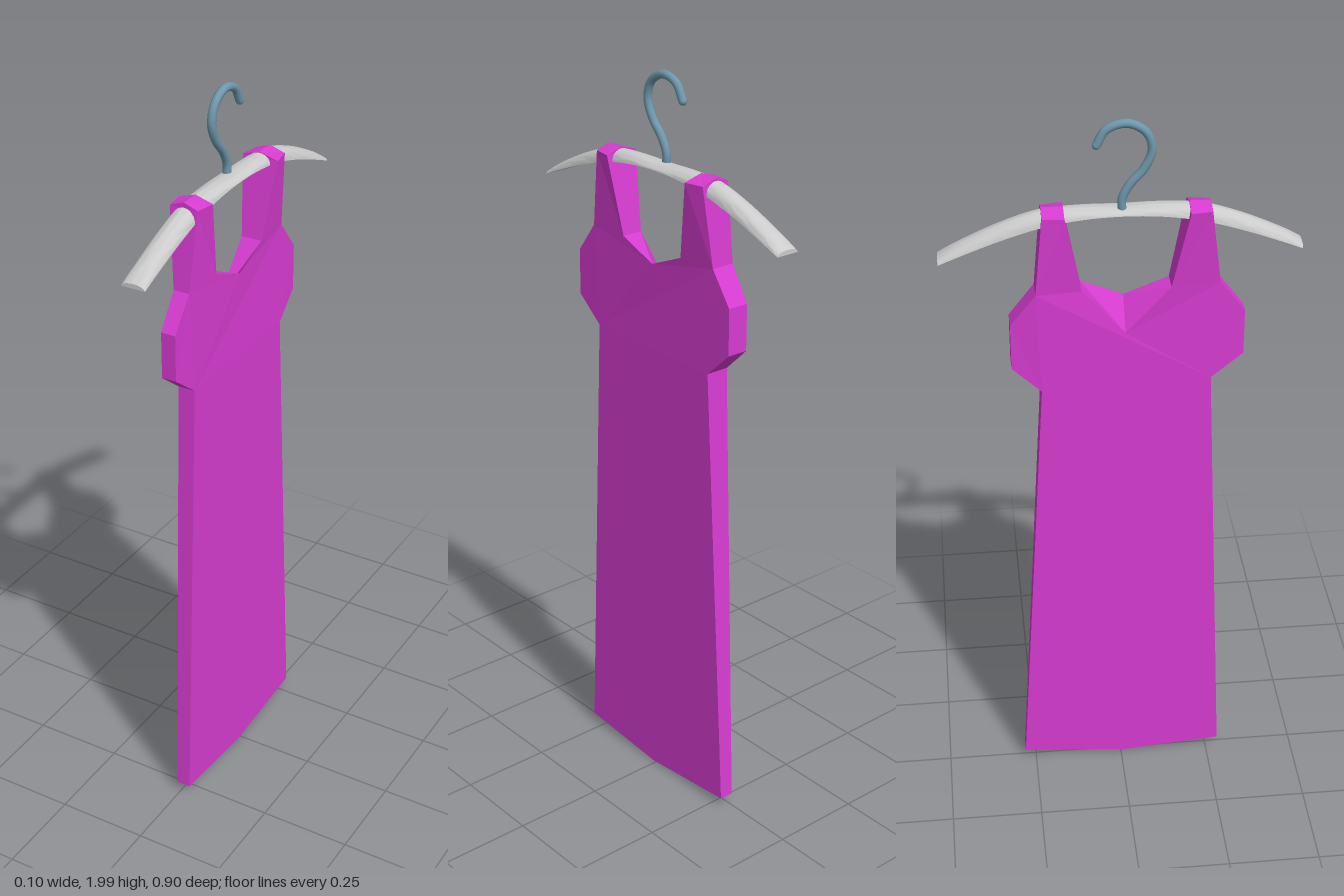
import * as THREE from 'three';
import { toCreasedNormals } from 'three/addons/utils/BufferGeometryUtils.js';

const material = (color, flatShading = false) =>
  new THREE.MeshStandardMaterial({ color, flatShading, side: THREE.DoubleSide });

function named(name, geometry, mat) {
  const mesh = new THREE.Mesh(geometry, mat);
  mesh.name = name;
  return mesh;
}

// Collects triangles and quads (corners counter-clockwise from outside)
function faceBuilder() {
  const pos = [];
  const tri = (...pts) => pts.forEach((p) => pos.push(...p));
  const quad = (a, b, c, d) => { tri(a, b, c); tri(a, c, d); };
  const build = () => {
    const g = new THREE.BufferGeometry();
    g.setAttribute('position', new THREE.Float32BufferAttribute(pos, 3));
    g.computeVertexNormals();
    return g;
  };
  return { tri, quad, build };
}

// Dress: two flat panels sharing an outline, joined by side walls
function dressGeometry() {
  // z, y, x of the +x panel, x of the -x panel, optional y on the -x panel
  const outline = [
    [0.285, 0.03, 0.027, -0.013], [0.01, 0.005, 0.027, -0.013], [-0.28, 0.03, 0.027, -0.013],
    [-0.205, 1.275, 0.027, -0.038], [-0.28, 1.345, 0.025, -0.034], [-0.28, 1.47, 0.025, -0.034],
    [-0.215, 1.555, 0.022, -0.043],
    [-0.195, 1.762, 0.04, -0.042], [-0.14, 1.762, 0.05, -0.05],
    [-0.1, 1.555, 0.028, -0.03], [0.01, 1.51, 0.028, -0.03, 1.43], [0.125, 1.555, 0.028, -0.03],
    [0.168, 1.762, 0.045, -0.05], [0.222, 1.762, 0.035, -0.042],
    [0.25, 1.555, 0.026, -0.018], [0.315, 1.47, 0.025, -0.015], [0.315, 1.345, 0.025, -0.015],
    [0.232, 1.28, 0.027, -0.02],
  ];
  const front = outline.map(([z, y, x]) => [x, y, z]);
  const back = outline.map(([z, y, , x, yb = y]) => [x, yb, z]);
  const { tri, quad, build } = faceBuilder();

  const panel = (pts, flip) => {
    const flat = pts.map(([, y, z]) => new THREE.Vector2(-z, y));
    for (const [a, b, c] of THREE.ShapeUtils.triangulateShape(flat, [])) {
      if (flip) tri(pts[a], pts[c], pts[b]);
      else tri(pts[a], pts[b], pts[c]);
    }
  };
  panel(front, false);
  panel(back, true);

  outline.forEach((p, i) => {
    const j = (i + 1) % outline.length;
    const [fa, fb, ba, bb] = [front[i], front[j], back[i], back[j]];
    if (p[1] > 1.7 && outline[j][1] > 1.7) {
      // Strap top with a low ridge over the hanger
      const ma = [-0.003, 1.776, p[0]];
      const mb = [-0.003, 1.776, outline[j][0]];
      quad(fa, ma, mb, fb);
      quad(ma, ba, bb, mb);
      tri(fa, ba, ma);
      tri(fb, mb, bb);
    } else {
      quad(fa, ba, bb, fb);
    }
  });
  return build();
}

// Hanger bar: crowned cross-sections lofted along a drooping arc
function hangerGeometry() {
  const curve = (pts) => new THREE.SplineCurve(pts.map(([z, y]) => new THREE.Vector2(z, y)));
  const zs = [0, 0.1, 0.2, 0.3, 0.4, 0.45];
  const profile = (ys) => curve([
    ...zs.map((z, i) => [-z, ys[i]]).slice(1).reverse(),
    ...zs.map((z, i) => [z, ys[i]]),
  ]);
  const top = profile([1.771, 1.774, 1.768, 1.736, 1.69, 1.66]);
  const bottom = profile([1.757, 1.752, 1.735, 1.705, 1.668, 1.648]);
  const steps = 40, sides = 12;
  const rings = [];
  for (let i = 0; i <= steps; i++) {
    const hi = top.getPoint(i / steps), lo = bottom.getPoint(i / steps);
    const ring = [];
    for (let k = 0; k <= sides; k++) {
      const a = (Math.PI * k) / sides;
      ring.push([-0.003 + 0.033 * Math.cos(a), lo.y + (hi.y - lo.y) * Math.sin(a), hi.x]);
    }
    rings.push(ring);
  }
  const { tri, quad, build } = faceBuilder();
  for (let i = 0; i < steps; i++) {
    for (let k = 0; k <= sides; k++) {
      const n = (k + 1) % (sides + 1);
      quad(rings[i][k], rings[i][n], rings[i + 1][n], rings[i + 1][k]);
    }
  }
  for (let k = 1; k < sides; k++) {
    const s = rings[0], e = rings[steps];
    tri(s[0], s[k + 1], s[k]);
    tri(e[0], e[k], e[k + 1]);
  }
  return toCreasedNormals(build(), 0.7);
}

export function createModel() {
  const group = new THREE.Group();
  group.name = 'dressOnHanger';

  group.add(named('dress', dressGeometry(), material(0xd63cd0, true)));
  group.add(named('hangerBar', hangerGeometry(), material(0xcccccc)));

  // Wire hook with a rounded tip
  const steel = material(0x6f97ab);
  const path = [
    [0.003, 1.76], [0.003, 1.795], [0.022, 1.832], [0.055, 1.87], [0.075, 1.92],
    [0.06, 1.965], [0.015, 1.989], [-0.035, 1.975], [-0.059, 1.936],
  ].map(([z, y]) => new THREE.Vector3(-0.013, y, z));
  const hook = new THREE.Group();
  hook.name = 'hook';
  hook.add(named('hookWire',
    new THREE.TubeGeometry(new THREE.CatmullRomCurve3(path), 48, 0.011, 10), steel));
  const tip = named('hookTip', new THREE.SphereGeometry(0.011, 10, 8), steel);
  tip.position.copy(path[path.length - 1]);
  hook.add(tip);
  group.add(hook);

  return group;
}
